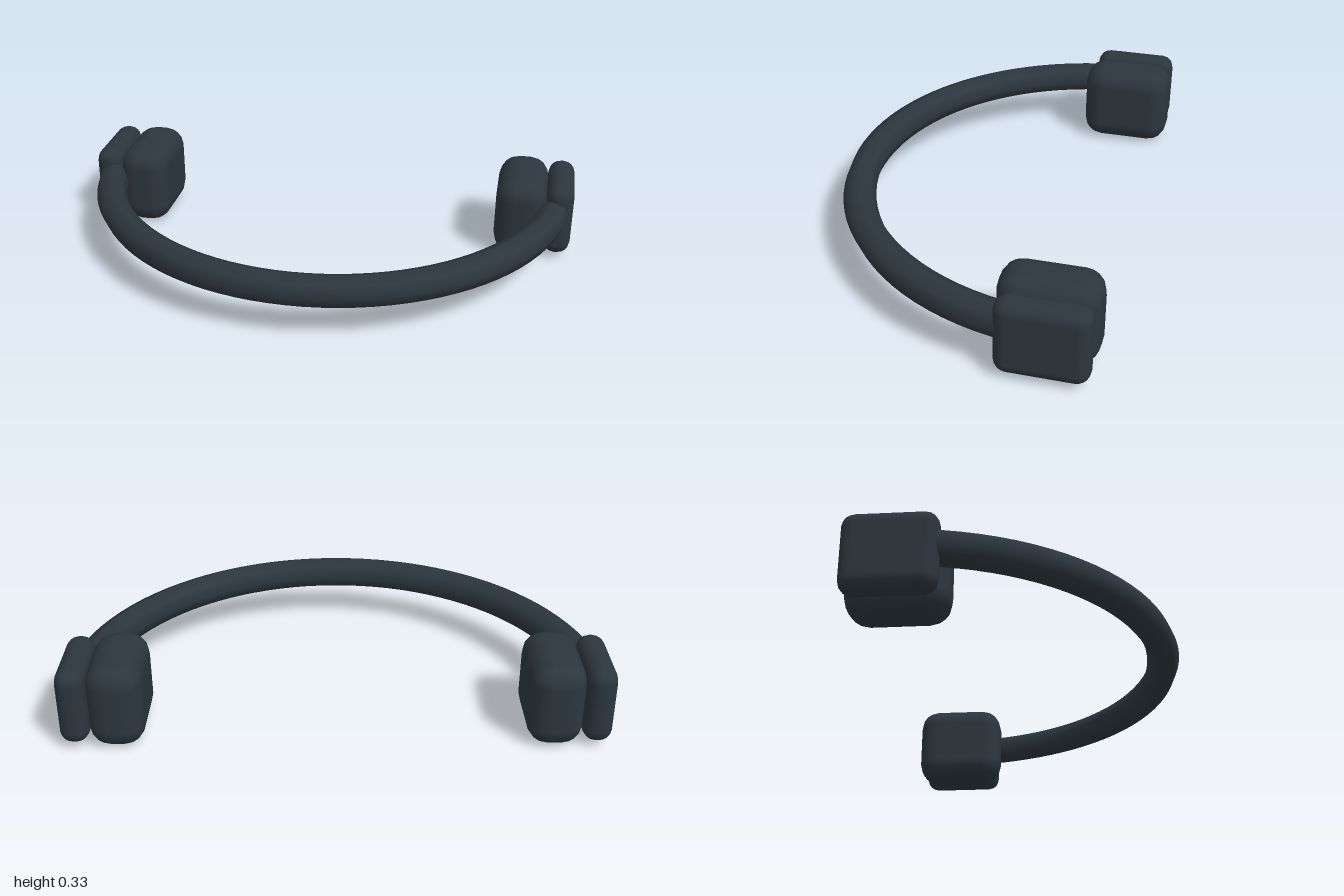
import * as THREE from 'three';
import { RoundedBoxGeometry } from 'three/addons/geometries/RoundedBoxGeometry.js';

export function createModel() {
  const group = new THREE.Group();
  group.name = 'headset';

  const charcoal = new THREE.MeshStandardMaterial({ color: 0x2c363e });
  charcoal.name = 'charcoal';

  const add = (name, geometry, x, y, z) => {
    const mesh = new THREE.Mesh(geometry, charcoal);
    mesh.name = name;
    mesh.position.set(x, y, z);
    group.add(mesh);
  };

  // Half-ring band, eight-sided section, lying flat and bulging forward
  const band = new THREE.TorusGeometry(0.9375, 0.0625, 8, 48, Math.PI);
  band.rotateX(Math.PI / 2);
  add('headBand', band, 0, 0.197, -0.425);

  // Ear cups: a thin outer shell and a thick soft cushion on each side
  const shell = new RoundedBoxGeometry(0.108, 0.295, 0.332, 2, 0.05);
  const cushion = new RoundedBoxGeometry(0.204, 0.328, 0.362, 2, 0.08);
  for (const [side, s] of [['left', 1], ['right', -1]]) {
    add(side + 'EarShell', shell, s * 0.946, 0.167, -0.401);
    add(side + 'EarCushion', cushion, s * 0.793, 0.164, -0.394);
  }
  return group;
}
